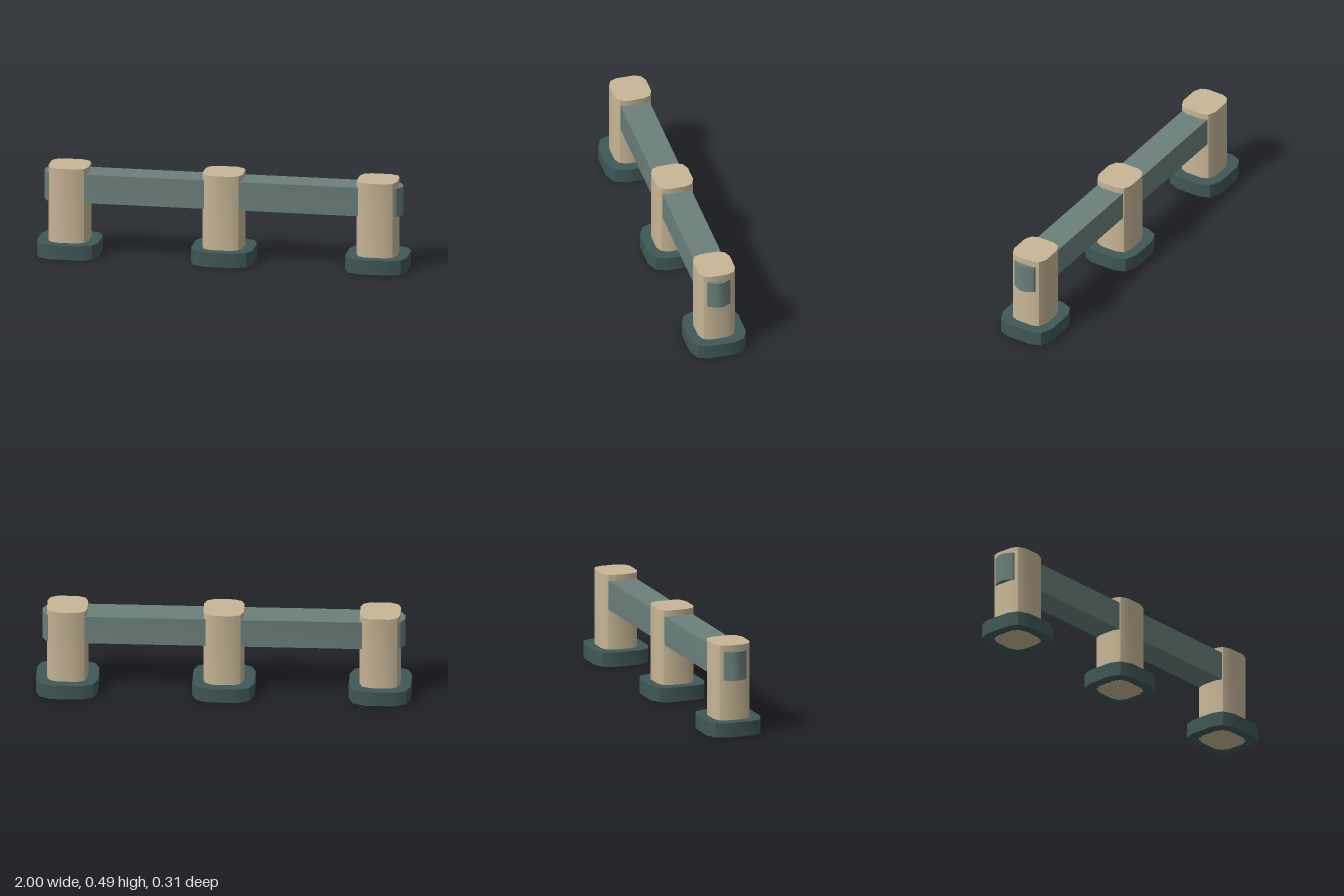
import * as THREE from 'three';
import { toCreasedNormals } from 'three/addons/utils/BufferGeometryUtils.js';

const material = (name, color) => {
  const m = new THREE.MeshStandardMaterial({ color });
  m.name = name;
  return m;
};

// Upright prism from one quarter of its plan outline, mirrored into all four quadrants
function prism(quarter, y0, y1) {
  const back = [...quarter].reverse();
  const outline = [
    ...quarter,
    ...back.map(([x, z]) => [-x, z]),
    ...quarter.map(([x, z]) => [-x, -z]),
    ...back.map(([x, z]) => [x, -z]),
  ].map(([x, z]) => new THREE.Vector2(x, z));
  const geometry = new THREE.ExtrudeGeometry(new THREE.Shape(outline), {
    depth: y1 - y0, bevelEnabled: false,
  });
  geometry.rotateX(-Math.PI / 2).translate(0, y0, 0);
  return toCreasedNormals(geometry, THREE.MathUtils.degToRad(31));
}

// Rounded square plan with soft sides and four sharp corners
const softSquare = (hx, hz) =>
  [[1, 0.46], [0.86, 0.82], [0.48, 1]].map(([x, z]) => [x * hx, z * hz]);

export function createModel() {
  const sand = material('sand', 0xc8b697);
  const teal = material('greyTeal', 0x6b807b);
  const dark = material('darkTeal', 0x405757);

  const model = new THREE.Group();
  model.name = 'barrier';
  const add = (parent, name, geometry, mat) => {
    const mesh = new THREE.Mesh(geometry, mat);
    mesh.name = name;
    parent.add(mesh);
  };

  // Three posts, each standing through a wide foot
  const postGeometry = prism(softSquare(0.108, 0.102), 0, 0.49);
  const footGeometry = prism(softSquare(0.166, 0.155), 0.001, 0.08);
  [['right', -0.834], ['middle', 0], ['left', 0.834]].forEach(([side, x]) => {
    const support = new THREE.Group();
    support.name = side + 'Support';
    support.position.x = x;
    add(support, 'post', postGeometry, sand);
    add(support, 'foot', footGeometry, dark);
    model.add(support);
  });

  // Long rail running through the posts, with tapered ends
  const railPlan = [[0.968, 0.018], [0.944, 0.062], [0.89, 0.079]];
  add(model, 'rail', prism(railPlan, 0.3, 0.457), teal);

  return model;
}
